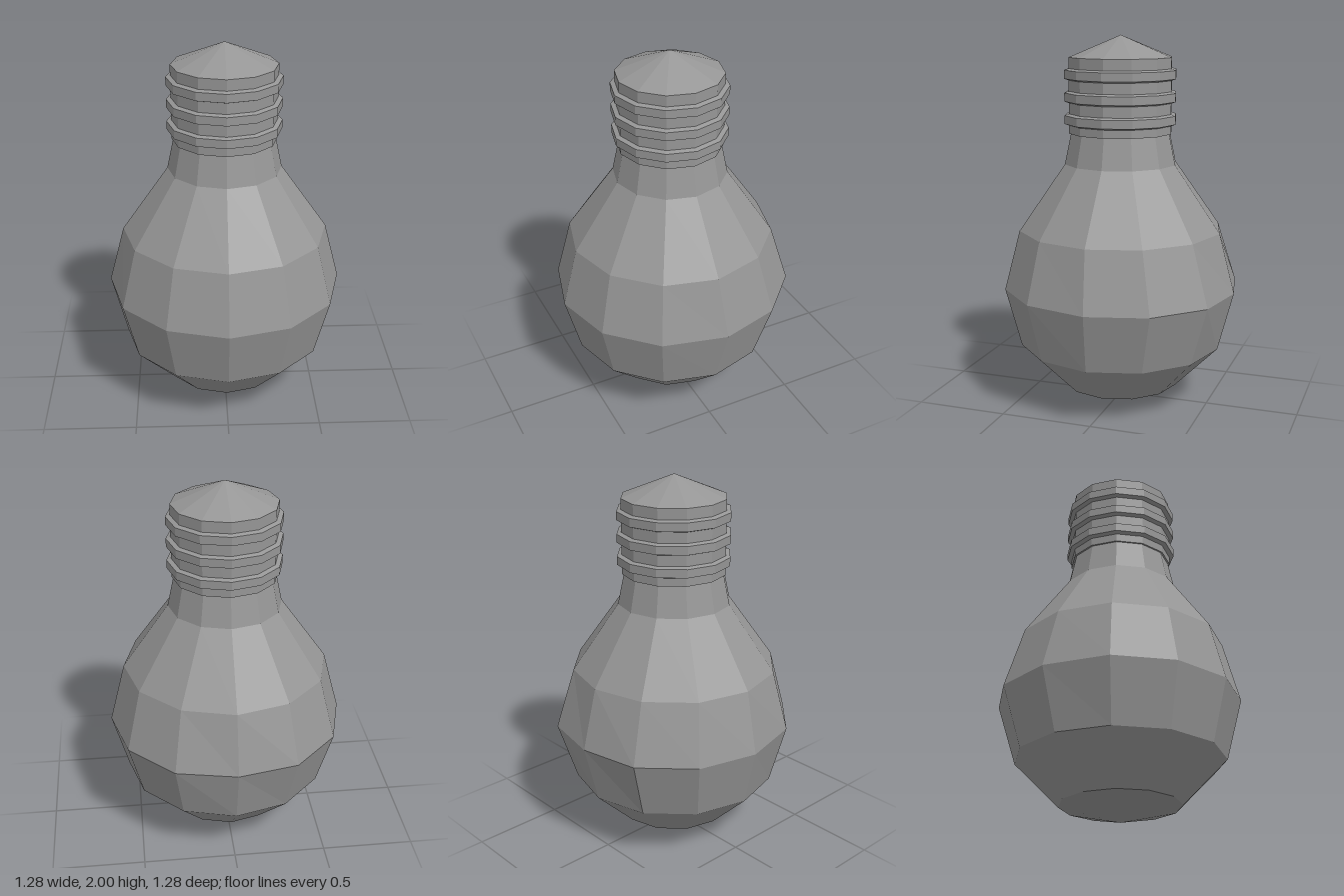
import * as THREE from 'three';

const SIDES = 12;

// Faceted solid of revolution from [radius, height] pairs, bottom to top
function turned(name, profile, material) {
  const points = profile.map(([r, y]) => new THREE.Vector2(r, y));
  const mesh = new THREE.Mesh(new THREE.LatheGeometry(points, SIDES), material);
  mesh.name = name;
  return mesh;
}

export function createModel() {
  const model = new THREE.Group();
  model.name = 'lightBulb';
  const grey = new THREE.MeshStandardMaterial({ color: 0x969696, flatShading: true });

  // Glass: round bulb narrowing into the neck
  const glass = turned('glassBulb', [
    [0, 0], [0.32, 0.085], [0.555, 0.32], [0.64, 0.643],
    [0.555, 0.965], [0.305, 1.32], [0.267, 1.5],
  ], grey);
  // Rear half of the widest ring bulges slightly backwards
  const pos = glass.geometry.attributes.position;
  for (let i = 0; i < pos.count; i++) {
    const z = pos.getZ(i);
    if (Math.hypot(pos.getX(i), z) > 0.6 && z < 0.01 && z > -0.6) pos.setZ(i, z - 0.02);
  }
  model.add(glass);

  // Screw base: closed collar with a conical contact on top
  const base = new THREE.Group();
  base.name = 'screwBase';
  base.add(turned('collar', [[0, 1.484], [0.28, 1.484], [0.28, 1.885]], grey));
  base.add(turned('contactCap', [[0.28, 1.885], [0, 2]], grey));

  // Three bevelled thread rings
  for (let i = 0; i < 3; i++) {
    const ring = turned('threadRing', [
      [0.275, -0.034], [0.304, -0.024], [0.304, 0.021], [0.275, 0.031],
    ], grey);
    ring.position.y = 1.56 + i * 0.119;
    base.add(ring);
  }
  model.add(base);
  return model;
}
